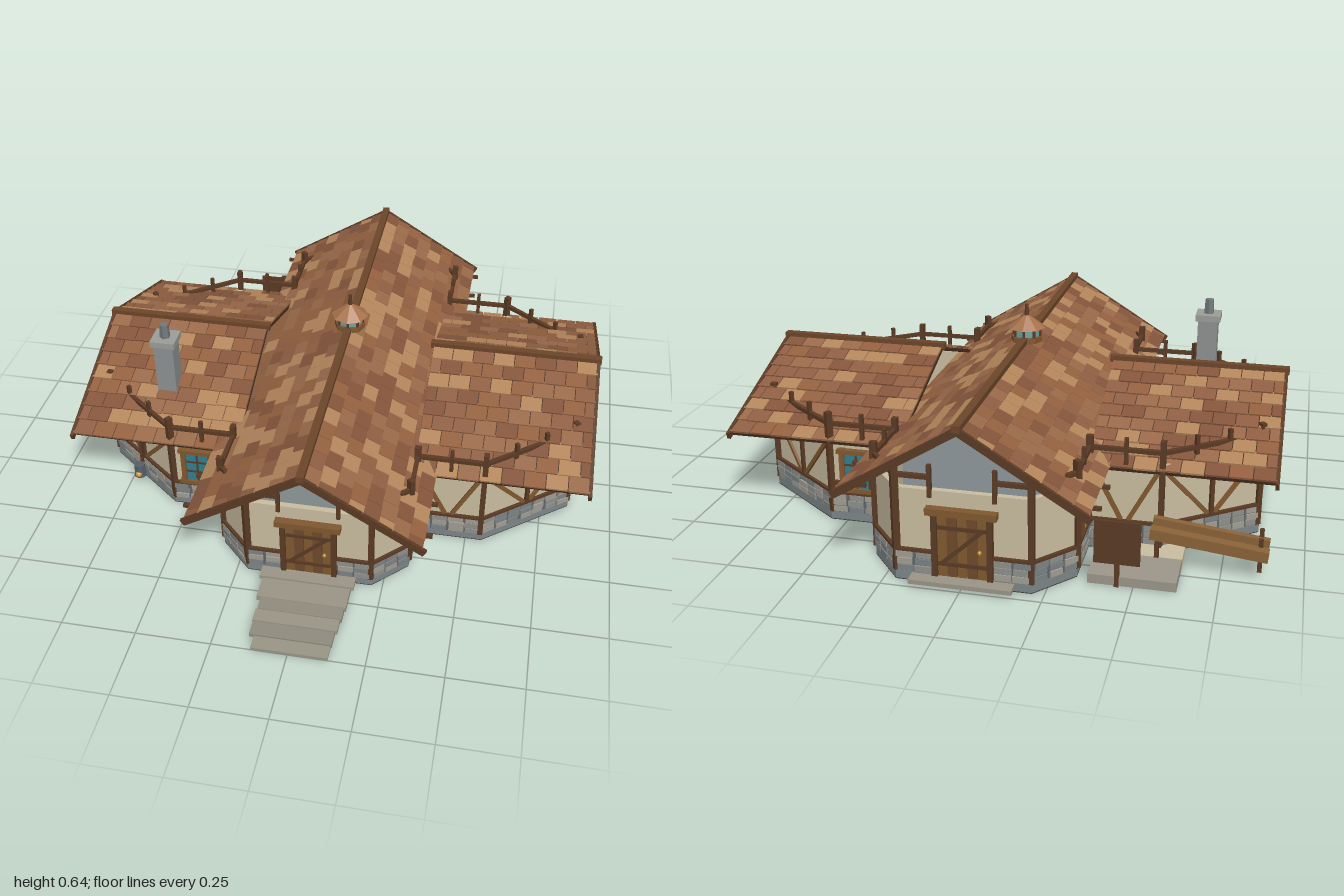
import * as THREE from 'three';
import { mergeGeometries } from 'three/addons/utils/BufferGeometryUtils.js';

const WOOD = 0x5a3a24, OAK = 0x80582f, PLASTER = 0xc9bda0, STONE = 0x8d9190, DARK = 0x3f413f;
const TILES = [0x8f5f43, 0x84553b, 0x9a6a4a, 0x94613f, 0xb5875c];
const STONES = [0x8f908a, 0x7c8284, 0xa09d92];

let seed = 7;
const rnd = () => (seed = (seed * 16807) % 2147483647) / 2147483647;

const mats = {};
const mat = (c) => (mats[c] ??= new THREE.MeshStandardMaterial({ color: c, flatShading: true }));

function add(parent, name, geo, color, x = 0, y = 0, z = 0) {
  const m = new THREE.Mesh(geo, mat(color));
  m.name = name;
  m.position.set(x, y, z);
  parent.add(m);
  return m;
}
const box = (p, name, color, w, h, d, x, y, z) => add(p, name, new THREE.BoxGeometry(w, h, d), color, x, y, z);

// Straight timber between two points of a wall's own plane
function bar(p, name, color, x0, y0, x1, y1, z, t = 0.014, d = 0.012) {
  const m = box(p, name, color, Math.hypot(x1 - x0, y1 - y0), t, d, (x0 + x1) / 2, (y0 + y1) / 2, z);
  m.rotation.z = Math.atan2(y1 - y0, x1 - x0);
  return m;
}

// Collects many small boxes per colour, one mesh for each
function batch(parent, name, palette, fill) {
  const lists = palette.map(() => []);
  fill((g) => {
    const r = rnd();
    lists[Math.min(palette.length - 1, Math.floor(r * palette.length))].push(g);
  });
  lists.forEach((l, i) => l.length && add(parent, name, mergeGeometries(l), palette[i]));
}

// Gable roof in its own frame: ridge along z at y = 0, eaves at x = +-run
function gableRoof(name, len, run, rise, rows, ends) {
  const roof = new THREE.Group();
  roof.name = name;
  const ang = Math.atan2(rise, run), h = Math.hypot(run, rise);
  for (const s of [1, -1]) {
    const slope = new THREE.Group();
    slope.name = 'roofSlope';
    slope.position.set((s * run) / 2, -rise / 2, 0);
    slope.rotation.z = -s * ang;
    roof.add(slope);
    box(slope, 'roofBoards', 0x4a3020, h, 0.012, len, 0, -0.006, 0);
    batch(slope, 'shingles', TILES, (put) => {
      const rh = h / rows, n = Math.round(len / 0.075), w = len / n;
      for (let r = 0; r < rows; r++) {
        const off = (r % 2) * 0.5;
        for (let k = 0; k < n + (r % 2); k++) {
          const z0 = Math.max(0, k - off) * w, z1 = Math.min(n, k + 1 - off) * w;
          const g = new THREE.BoxGeometry(rh * (1.1 + rnd() * 0.12), 0.007, z1 - z0 - 0.003);
          g.rotateZ(s * 0.09);
          g.translate(s * ((r + 0.5) * rh - h / 2), 0.004, (z0 + z1) / 2 - len / 2);
          put(g);
        }
      }
    });
    for (const e of ends) box(slope, 'bargeboard', WOOD, h + 0.02, 0.024, 0.012, s * 0.008, -0.002, e * len / 2);
  }
  box(roof, 'ridgeBeam', 0x6b4529, 0.026, 0.022, len + 0.02, 0, 0.006, 0);
  return roof;
}

function addWindow(p) {
  const w = 0.13, y = 0.185, h = 0.125;
  box(p, 'windowGlass', 0x2f7f92, w, h, 0.01, 0, y, 0.004);
  for (const s of [-1, 1]) {
    box(p, 'windowFrameSide', OAK, 0.017, h + 0.03, 0.024, s * (w / 2 + 0.006), y, 0.006);
    box(p, 'windowFrameRail', OAK, w + 0.045, 0.015, 0.026, 0, y + s * (h / 2 + 0.006), 0.007);
    box(p, 'mullion', WOOD, 0.006, h, 0.006, s * 0.022, y, 0.01);
    box(p, 'glazingBar', WOOD, w, 0.006, 0.006, 0, y + s * 0.021, 0.01);
  }
}

function addDoor(p) {
  for (let i = 0; i < 5; i++) box(p, 'doorPlank', i % 2 ? 0x6d4a2b : OAK, 0.029, 0.205, 0.012, (i - 2) * 0.031, 0.127, 0.004);
  for (const s of [-1, 1]) {
    box(p, 'doorJamb', WOOD, 0.018, 0.215, 0.024, s * 0.086, 0.13, 0.006);
    box(p, 'doorStrap', WOOD, 0.15, 0.012, 0.006, 0, 0.13 + s * 0.06, 0.012);
  }
  bar(p, 'doorBrace', WOOD, -0.065, 0.07, 0.065, 0.19, 0.012, 0.012, 0.006);
  box(p, 'doorLintel', OAK, 0.22, 0.022, 0.034, 0, 0.243, 0.01);
  add(p, 'doorKnob', new THREE.SphereGeometry(0.007, 8, 6), 0xb8923a, 0.055, 0.12, 0.016);
  box(p, 'doorSill', 0x9a9585, 0.32, 0.014, 0.05, 0, 0.02, 0.03);
}

// One side of the footprint: stonework, plaster, timber frame and rail
function wall(a, b, kind) {
  const p = new THREE.Group();
  p.name = kind + 'Wall';
  const dx = b[0] - a[0], dz = b[1] - a[1], L = Math.hypot(dx, dz);
  p.position.set((a[0] + b[0]) / 2, 0, (a[1] + b[1]) / 2);
  p.rotation.y = Math.atan2(-dz, dx);
  const underEave = dz === 0 && kind !== 'door';
  const top = underEave ? 0.284 : 0.303;
  box(p, 'plaster', PLASTER, L, top - 0.03, 0.02, 0, (top + 0.03) / 2, -0.01);

  // Two courses of stone, left open at a doorway
  const gap = kind === 'door' ? 0.094 : 0;
  const runs = gap ? [[-L / 2, -gap], [gap, L / 2]] : [[-L / 2, L / 2]];
  for (const [x0, x1] of runs) {
    box(p, 'stoneBacking', 0x5f6466, x1 - x0, 0.068, 0.012, (x0 + x1) / 2, 0.064, 0);
    batch(p, 'stones', STONES, (put) => {
      const n = Math.max(2, Math.round((x1 - x0) / 0.055)), w = (x1 - x0) / n;
      for (let r = 0; r < 3; r++) for (let k = 0; k < n; k++) {
        const g = new THREE.BoxGeometry(w * (0.8 + rnd() * 0.14), 0.019, 0.012);
        g.translate(x0 + (k + 0.5) * w + (rnd() - 0.5) * 0.006, 0.042 + r * 0.0225, 0.003 + rnd() * 0.004);
        put(g);
      }
    });
    box(p, 'sillBeam', WOOD, x1 - x0, 0.01, 0.018, (x0 + x1) / 2, 0.102, 0.002);
  }

  // Timber frame
  box(p, 'cornerPost', WOOD, 0.018, 0.355, 0.022, L / 2, 0.2075, 0);
  if (kind === 'brace') {
    for (const s of [-1, 1]) bar(p, 'brace', OAK, s * 0.012, 0.108, s * (L / 2 - 0.015), 0.275, 0.003);
    if (L > 0.3) box(p, 'middlePost', WOOD, 0.014, 0.18, 0.012, 0, 0.195, 0.004);
  }
  if (kind === 'window') addWindow(p);
  if (kind === 'door') addDoor(p);

  // Raised rail with short posts, broken over the gable centres
  const open = kind === 'door' || (kind === 'window' && L > 0.4) ? 0.1 : 0;
  for (const [x0, x1] of open ? [[-L / 2, -open], [open, L / 2]] : [[-L / 2, L / 2]]) {
    box(p, 'rail', WOOD, x1 - x0, 0.014, 0.014, (x0 + x1) / 2, 0.345, 0);
    const n = Math.max(1, Math.round((x1 - x0) / 0.12));
    for (let k = open ? 0 : 1; k <= (open ? n : n - 1); k++)
      box(p, 'railPost', WOOD, 0.013, 0.105, 0.013, x0 + ((x1 - x0) * k) / n, 0.333, 0);
  }
  return p;
}

export function createModel() {
  const house = new THREE.Group();
  house.name = 'house';

  // Cross-shaped footprint with cut corners
  const half = [[0.21, 0.65], [0.32, 0.54], [0.32, 0.37], [0.55, 0.37], [0.84, 0.14],
    [0.84, -0.4], [0.55, -0.62], [0.32, -0.62], [0.32, -0.82], [0.21, -0.95]];
  const pts = [...half, ...half.map(([x, z]) => [-x, z]).reverse()];
  const kinds = ['plain', 'brace', 'brace', 'brace', 'window', 'brace', 'window', 'brace', 'plain', 'door'];
  pts.forEach((a, i) => house.add(wall(a, pts[(i + 1) % 20], kinds[i % 10])));

  const plan = new THREE.Shape(pts.map(([x, z]) => new THREE.Vector2(x * 1.01, -z * 1.01)));
  const slab = (d) => new THREE.ExtrudeGeometry(plan, { depth: d, bevelEnabled: false }).rotateX(-Math.PI / 2);
  add(house, 'underside', slab(0.003), DARK);
  add(house, 'plinth', slab(0.027), 0x7d8588, 0, 0.003, 0);

  // Roofs: one long main roof and two lower wings
  const main = gableRoof('mainRoof', 1.74, 0.38, 0.232, 8, [1, -1]);
  main.position.set(0, 0.517, -0.12);
  house.add(main);
  for (const s of [1, -1]) {
    const wing = gableRoof('wingRoof', 0.59, 0.51, 0.18, 9, [1]);
    wing.position.set(s * 0.605, 0.465, -0.12);
    wing.rotation.y = (s * Math.PI) / 2;
    house.add(wing);
    for (const z of [-0.92, -0.77, 0.53, 0.68]) box(house, 'rafterEnd', WOOD, 0.1, 0.012, 0.012, s * 0.36, 0.283, z);
  }

  // Roof lantern
  const lantern = new THREE.Group();
  lantern.name = 'roofLantern';
  lantern.position.set(0, 0, -0.12);
  house.add(lantern);
  add(lantern, 'lanternBase', new THREE.CylinderGeometry(0.055, 0.055, 0.02, 8), OAK, 0, 0.523, 0);
  add(lantern, 'lanternGlass', new THREE.CylinderGeometry(0.046, 0.046, 0.035, 8), 0x6fa3a0, 0, 0.545, 0);
  for (let i = 0; i < 8; i++) {
    const t = (i * Math.PI) / 4;
    box(lantern, 'lanternPost', WOOD, 0.008, 0.035, 0.008, 0.047 * Math.sin(t), 0.545, 0.047 * Math.cos(t));
  }
  add(lantern, 'lanternRoof', new THREE.ConeGeometry(0.066, 0.05, 8), 0xa8734c, 0, 0.587, 0);
  add(lantern, 'finial', new THREE.CylinderGeometry(0.006, 0.009, 0.045, 6), WOOD, 0, 0.622, 0);

  // Chimney
  box(house, 'chimneyStack', STONE, 0.07, 0.21, 0.07, -0.61, 0.45, 0.155);
  box(house, 'chimneyCap', 0x9b9d98, 0.088, 0.022, 0.088, -0.61, 0.563, 0.155);
  add(house, 'chimneyPot', new THREE.CylinderGeometry(0.016, 0.019, 0.055, 6), 0x74787a, -0.61, 0.598, 0.155);

  // Shallow front steps
  const steps = [[0.72, 0.14, 0.30, 0], [0.815, 0.05, 0.28, 0.005], [0.865, 0.05, 0.28, 0], [0.92, 0.055, 0.27, -0.002], [0.975, 0.05, 0.25, 0.005]];
  steps.forEach(([z, d, w, x], i) => box(house, 'step', i % 2 ? 0x8f8b7d : 0x9a9585, w, 0.02 - i * 0.0025, d, x, 0.01 - i * 0.00125, z));

  // Loading platform with a board and two sloping beams at the back
  box(house, 'platform', 0x9c968a, 0.27, 0.03, 0.15, -0.495, 0.018, -0.785);
  box(house, 'platformInner', PLASTER, 0.27, 0.028, 0.1, -0.495, 0.017, -0.66);
  box(house, 'standingBoard', WOOD, 0.14, 0.14, 0.01, -0.45, 0.15, -0.865);
  box(house, 'boardPost', WOOD, 0.014, 0.2, 0.014, -0.45, 0.1, -0.857);
  for (const [z, d] of [[-0.725, 0.035], [-0.65, 0.022]]) {
    bar(house, 'slopingBeam', 0x8a6238, -0.89, 0.085, -0.53, 0.125, z, 0.035, d);
    for (const x of [-0.865, -0.55]) box(house, 'beamLeg', WOOD, 0.014, 0.11, 0.014, x, 0.075, z + d / 2);
  }

  // Hanging lamp by the cut corner
  box(house, 'lampPole', WOOD, 0.01, 0.23, 0.01, -0.705, 0.145, 0.275);
  add(house, 'lampBody', new THREE.CylinderGeometry(0.019, 0.023, 0.05, 8), 0x55606a, -0.71, 0.065, 0.295);
  add(house, 'lampLight', new THREE.SphereGeometry(0.012, 8, 6), 0xd09a2f, -0.71, 0.055, 0.312);
  return house;
}
